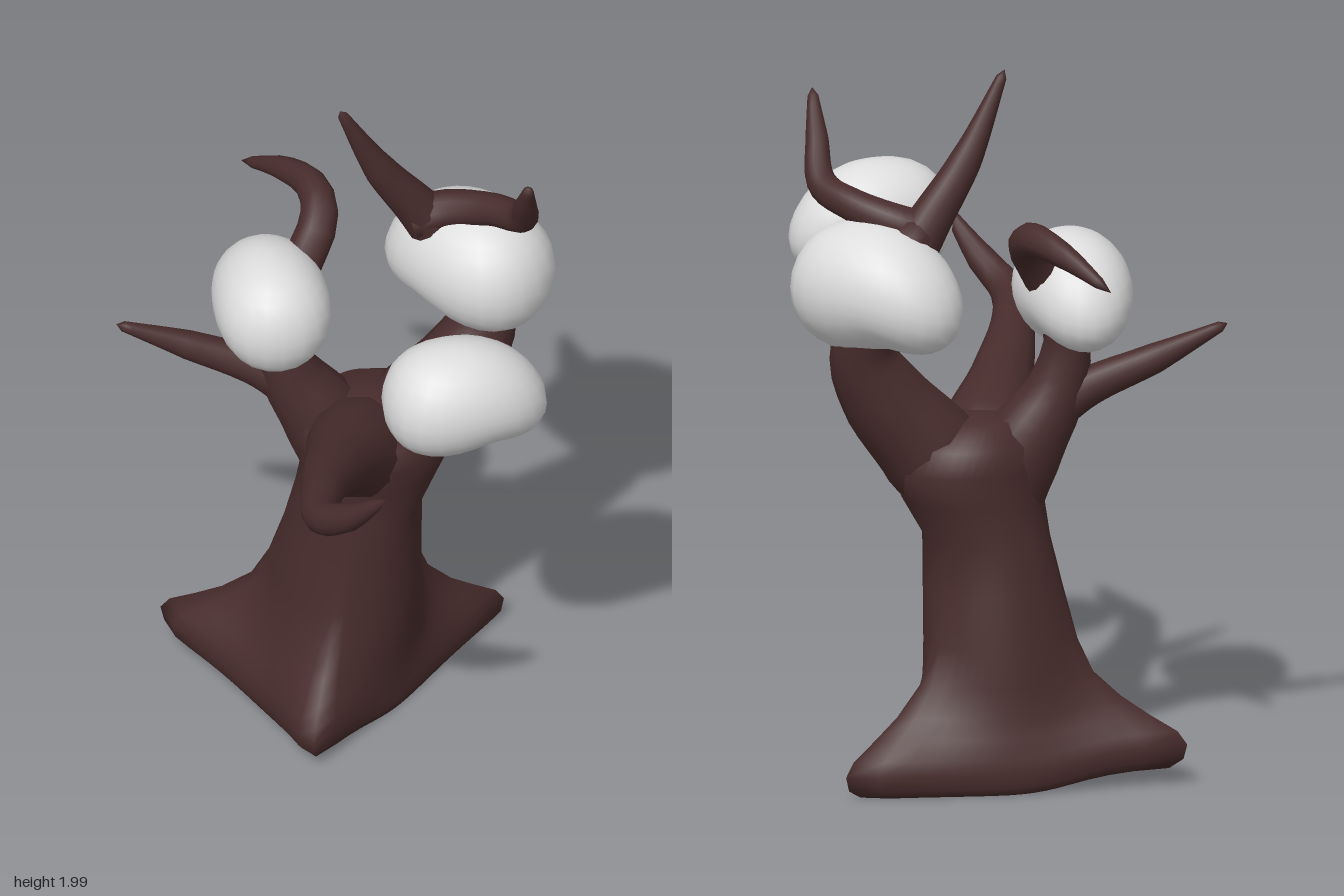
import * as THREE from 'three';
import { mergeVertices } from 'three/addons/utils/BufferGeometryUtils.js';

const bark = new THREE.MeshStandardMaterial({ color: 0x482c2c });
bark.name = 'dark bark';
const foliage = new THREE.MeshStandardMaterial({ color: 0xdcdcdc });
foliage.name = 'pale foliage';

// Weld seams so shading runs smoothly around closed shapes
function smooth(geo) {
  geo.deleteAttribute('uv');
  geo.deleteAttribute('normal');
  const welded = mergeVertices(geo, 1e-5);
  welded.computeVertexNormals();
  return welded;
}

function addMesh(group, name, geo, material) {
  const mesh = new THREE.Mesh(geo, material);
  mesh.name = name;
  group.add(mesh);
  return mesh;
}

// Tapered limb through points [x, y, z, radius]
function limb(points, segments = 26, sides = 12) {
  const curve = new THREE.CatmullRomCurve3(points.map(p => new THREE.Vector3(p[0], p[1], p[2])));
  const geo = new THREE.TubeGeometry(curve, segments, 1, sides, false);
  const pos = geo.attributes.position;
  const v = new THREE.Vector3();
  for (let i = 0; i <= segments; i++) {
    const u = i / segments;
    const t = curve.getUtoTmapping(u) * (points.length - 1);
    const k = Math.min(Math.floor(t), points.length - 2);
    const r = i === segments ? 0 : THREE.MathUtils.lerp(points[k][3], points[k + 1][3], t - k);
    const c = curve.getPointAt(u);
    for (let j = 0; j <= sides; j++) {
      const n = i * (sides + 1) + j;
      v.fromBufferAttribute(pos, n).sub(c).multiplyScalar(r).add(c);
      pos.setXYZ(n, v.x, v.y, v.z);
    }
  }
  return smooth(geo);
}

// Three root tips: angle around the trunk, reach, lift of the tip,
// and how far the side towards the next root bulges out
const roots = [
  { angle: -0.02, reach: 0.55, lift: 0, bulge: 0.04 },
  { angle: 2.36, reach: 0.44, lift: 0.03, bulge: -0.14 },
  { angle: 4.03, reach: 0.565, lift: 0.055, bulge: 0.1 },
];

// Root outline: a blunt triangle with gently curved sides, in polar form
function rootOutline(angle) {
  const full = Math.PI * 2;
  const a = THREE.MathUtils.euclideanModulo(angle - roots[0].angle, full) + roots[0].angle;
  const k = a < roots[1].angle ? 0 : a < roots[2].angle ? 1 : 2;
  const from = roots[k], to = roots[(k + 1) % 3];
  const span = THREE.MathUtils.euclideanModulo(to.angle - from.angle, full);
  const t = a - from.angle;
  const r = Math.sin(span) / (Math.sin(span - t) / from.reach + Math.sin(t) / to.reach);
  const blunt = 0.95 * (t < span / 2 ? from.reach : to.reach);
  return Math.min(blunt, r * (1 + from.bulge * Math.sin(Math.PI * t / span)));
}

// Trunk: stacked rings that blend into the root outline near the ground
function trunk() {
  const rings = [ // y, centre x, centre z, radius x, radius z, root flare
    [0.02, 0, -0.17, 0, 0, 0],
    [0.012, 0, -0.17, 0.17, 0.16, 0.86],
    [0.035, 0, -0.17, 0.19, 0.18, 0.97],
    [0.075, 0, -0.17, 0.195, 0.19, 1],
    [0.115, 0, -0.17, 0.195, 0.195, 0.92],
    [0.165, 0, -0.17, 0.195, 0.2, 0.7],
    [0.22, 0, -0.17, 0.195, 0.205, 0.47],
    [0.3, 0.005, -0.17, 0.195, 0.21, 0.22],
    [0.4, 0.01, -0.17, 0.195, 0.21, 0.08],
    [0.55, 0.015, -0.155, 0.185, 0.2, 0.01],
    [0.69, 0.025, -0.14, 0.167, 0.19, 0],
    [0.8, 0.06, -0.125, 0.2, 0.185, 0],
    [0.89, 0.065, -0.108, 0.227, 0.2, 0],
    [0.96, 0.055, -0.11, 0.21, 0.19, 0],
    [1.02, 0.035, -0.12, 0.12, 0.12, 0],
    [1.03, 0.03, -0.12, 0, 0, 0],
  ];
  const sides = 48, verts = [], index = [];
  rings.forEach(([y, cx, cz, rx, rz, flare], i) => {
    for (let j = 0; j < sides; j++) {
      const a = j / sides * Math.PI * 2;
      const outline = rootOutline(a);
      let lift = 0;
      for (const root of roots) {
        lift += root.lift * flare * Math.pow(Math.max(0, Math.cos(a - root.angle)), 5);
      }
      verts.push(
        cx + Math.cos(a) * THREE.MathUtils.lerp(rx, outline, flare),
        y + lift,
        cz + Math.sin(a) * THREE.MathUtils.lerp(rz, outline, flare));
      if (i === rings.length - 1) continue;
      const p = i * sides + j, q = i * sides + (j + 1) % sides;
      index.push(p, p + sides, q, q, p + sides, q + sides);
    }
  });
  const geo = new THREE.BufferGeometry();
  geo.setAttribute('position', new THREE.Float32BufferAttribute(verts, 3));
  geo.setIndex(index);
  return smooth(geo);
}

// Bean-shaped puff, long in x, drooping towards its smaller +x end
function puff() {
  const geo = new THREE.SphereGeometry(1, 24, 16);
  const pos = geo.attributes.position;
  for (let i = 0; i < pos.count; i++) {
    const x = pos.getX(i), y = pos.getY(i), z = pos.getZ(i);
    const size = (1 - 0.12 * x) * (1 + 0.17 * x * x);
    const dent = y < 0 ? 1 - 0.12 * Math.exp(-Math.pow((x - 0.25) / 0.3, 2)) : 1;
    const droop = x * x * (x > 0 ? 0.05 : 0.01);
    pos.setXYZ(i, 0.23 * x, 0.164 * y * size * dent - droop, 0.16 * z * size);
  }
  return smooth(geo);
}

export function createModel() {
  const tree = new THREE.Group();
  tree.name = 'tree';
  addMesh(tree, 'trunk', trunk(), bark);

  // Branches and twigs
  const limbs = {
    frontBranch: [[0.06, 0.75, -0.14, 0.13], [-0.03, 0.91, -0.06, 0.145], [-0.2, 1.03, 0.1, 0.092],
      [-0.36, 1.12, 0.27, 0.062], [-0.47, 1.175, 0.44, 0.05], [-0.46, 1.25, 0.56, 0.04], [-0.43, 1.38, 0.69, 0.01]],
    sideBranch: [[0.06, 0.72, -0.13, 0.11], [0.16, 0.92, -0.08, 0.145], [0.29, 1.09, -0.03, 0.12],
      [0.36, 1.23, -0.025, 0.092], [0.34, 1.42, -0.09, 0.075], [0.25, 1.57, -0.13, 0.06], [0.22, 1.61, -0.14, 0.03]],
    topTwig: [[0.27, 1.5, -0.11, 0.075], [0.2, 1.61, -0.13, 0.06], [0.1, 1.76, -0.15, 0.045], [-0.02, 2.0, -0.165, 0.012]],
    forwardTwig: [[0.2, 1.56, -0.13, 0.06], [0.28, 1.59, -0.08, 0.055], [0.35, 1.63, 0.03, 0.047],
      [0.37, 1.67, 0.15, 0.042], [0.33, 1.78, 0.23, 0.032], [0.295, 1.9, 0.3, 0.012]],
    backBranch: [[0.02, 0.72, -0.15, 0.12], [-0.05, 0.93, -0.2, 0.12], [-0.13, 1.09, -0.25, 0.085],
      [-0.15, 1.25, -0.275, 0.062], [-0.08, 1.42, -0.27, 0.058], [0, 1.53, -0.3, 0.055],
      [0.035, 1.57, -0.38, 0.047], [0.03, 1.55, -0.52, 0.035], [0, 1.48, -0.69, 0.01]],
    backTwig: [[-0.1, 1.02, -0.23, 0.07], [-0.2, 1.1, -0.3, 0.055], [-0.36, 1.18, -0.4, 0.042], [-0.54, 1.27, -0.49, 0.012]],
  };
  for (const [name, points] of Object.entries(limbs)) addMesh(tree, name, limb(points), bark);

  // Foliage puffs: name, position, turn in degrees, scale
  const puffGeo = puff();
  for (const [name, position, turn, scale] of [
    ['frontPuff', [-0.03, 1.443, 0.477], -18, 1],
    ['leftPuff', [0.34, 1.415, -0.075], 106, 1.12],
    ['backPuff', [-0.19, 1.37, -0.26], 68, 0.99],
  ]) {
    const mesh = addMesh(tree, name, puffGeo, foliage);
    mesh.position.set(...position);
    mesh.rotation.y = THREE.MathUtils.degToRad(turn);
    mesh.scale.setScalar(scale);
  }
  return tree;
}
